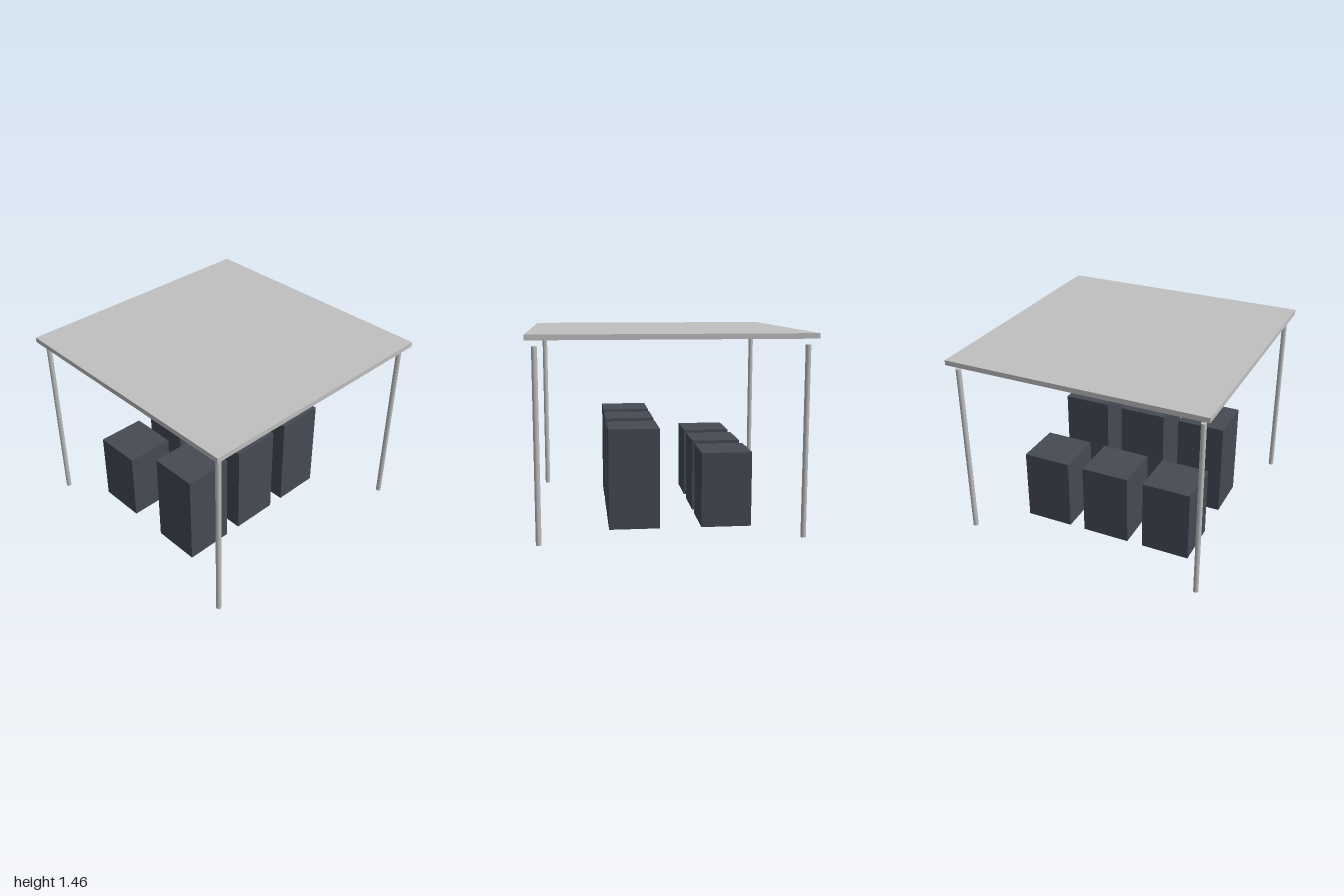
import * as THREE from 'three';

export function createModel() {
  const model = new THREE.Group();
  const metal = new THREE.MeshStandardMaterial({ color: 0xc0c0c0 });
  metal.name = 'light grey metal';
  const dark = new THREE.MeshStandardMaterial({ color: 0x454a54 });
  dark.name = 'dark slate';

  const add = (name, geometry, material, x, y, z) => {
    const mesh = new THREE.Mesh(geometry, material);
    mesh.name = name;
    mesh.position.set(x, y, z);
    model.add(mesh);
  };

  // Flat canopy, floating slightly above the posts
  add('roof', new THREE.BoxGeometry(2, 0.0375, 2), metal, 0, 1.4375, 0);

  // Four corner posts
  const postHeight = 1.375;
  const post = new THREE.CylinderGeometry(0.02, 0.02, postHeight, 8);
  for (const x of [-0.9375, 0.9375])
    for (const z of [-0.9375, 0.9375]) add('post', post, metal, x, postHeight / 2, z);

  // Two rows of three cabinets: tall in front, short behind
  const rows = [
    { name: 'tallCabinet', height: 0.75, z: 0.25 },
    { name: 'shortCabinet', height: 0.5625, z: -0.4375 },
  ];
  for (const { name, height, z } of rows) {
    const cabinet = new THREE.BoxGeometry(0.375, height, 0.375);
    for (let i = 0; i < 3; i++) add(name, cabinet, dark, -0.5625 + i * 0.5, height / 2, z);
  }

  return model;
}
